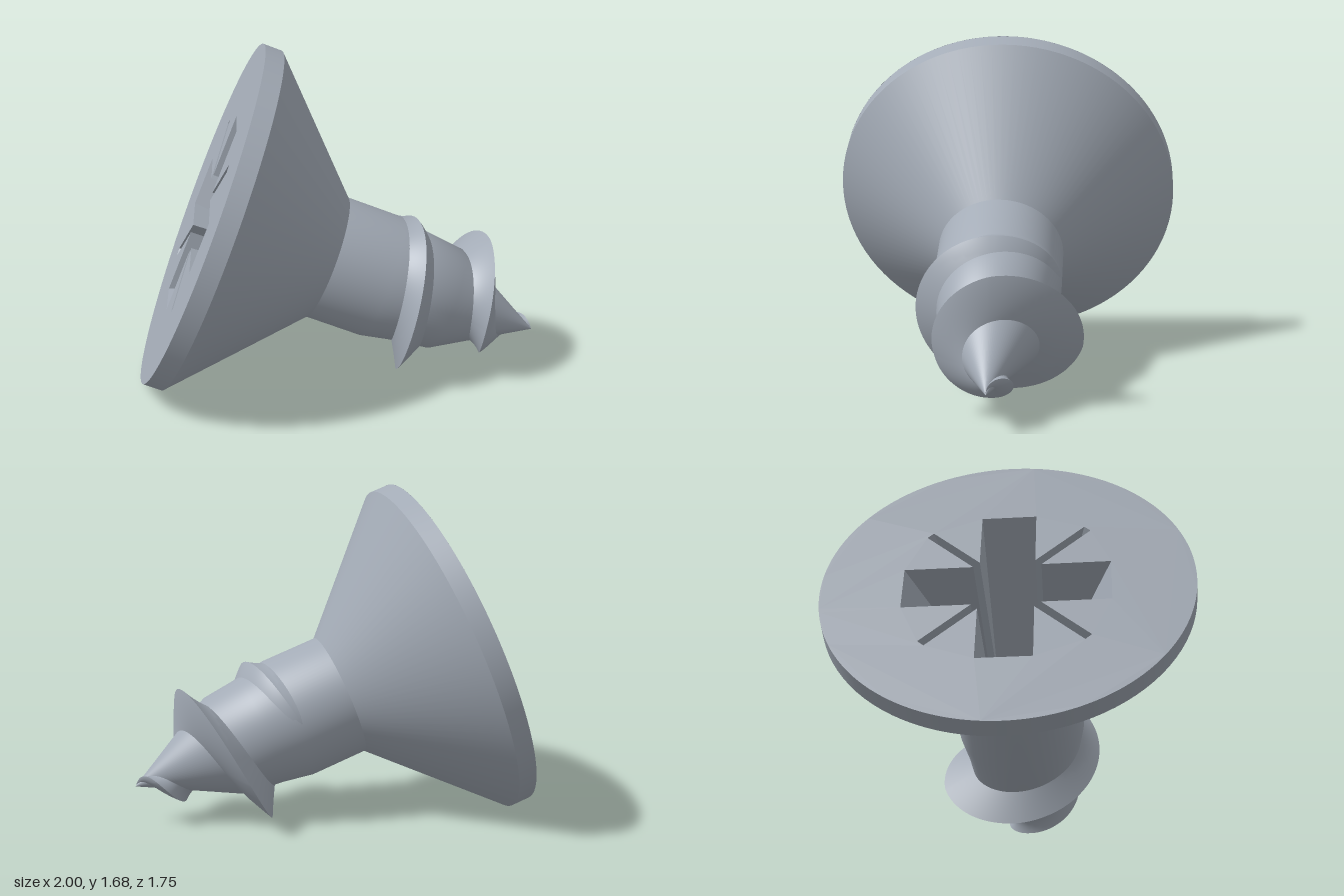
import * as THREE from 'three';
import { ParametricGeometry } from 'three/addons/geometries/ParametricGeometry.js';

// Screw built along local +Y (head at 0, tip at TIP), then tilted into place
const TIP = 1.79;
const HEAD_R = 0.883;
const SHANK = [[0.315, 0.66], [0.315, 0.95], [0.288, 1.1], [0.265, 1.3], [0, TIP]];
const CREST = [[0.28, 0.88], [0.315, 0.93], [0.342, 1.02], [0.385, 1.115], [0.425, 1.21], [0.437, 1.29],
  [0.37, 1.4], [0.26, 1.495], [0.178, 1.59], [0.11, 1.685], [0, TIP]];

// radius at distance s, interpolated in a [radius, distance] profile
function radiusAt(profile, s) {
  for (let i = 1; i < profile.length; i++) {
    const [r0, s0] = profile[i - 1], [r1, s1] = profile[i];
    if (s <= s1) return r0 + (r1 - r0) * Math.max(0, (s - s0) / (s1 - s0));
  }
  return 0;
}

// cross outline with four thin diagonal slits, narrowing with depth
function recessOutline(depth) {
  const arm = 0.49 - 0.45 * depth;
  const h = 0.132 - 0.03 * depth;
  const q = 0.38 - 0.32 * depth;
  const quarter = [[arm, -h], [arm, h], [h + 0.03, h], [q + 0.015, q - 0.015],
    [q - 0.015, q + 0.015], [h, h + 0.03]];
  const points = [];
  for (let k = 0; k < 4; k++) {
    for (const [x, y] of quarter) {
      points.push(new THREE.Vector2(x, y).rotateAround(new THREE.Vector2(), k * Math.PI / 2));
    }
  }
  return points;
}

function recessGeometry(depth, apexDepth) {
  const top = recessOutline(0), low = recessOutline(depth);
  const pos = [];
  const n = top.length;
  for (let i = 0; i < n; i++) {
    const j = (i + 1) % n;
    const a = [top[i].x, top[i].y, 0], b = [top[j].x, top[j].y, 0];
    const c = [low[j].x, low[j].y, -depth], d = [low[i].x, low[i].y, -depth];
    pos.push(...a, ...b, ...c, ...a, ...c, ...d);
    pos.push(...d, ...c, 0, 0, -apexDepth);
  }
  const geo = new THREE.BufferGeometry();
  geo.setAttribute('position', new THREE.Float32BufferAttribute(pos, 3));
  geo.computeVertexNormals();
  return geo.rotateX(Math.PI / 2);
}

// one flank of the helical thread: side -1 faces the head, +1 faces the tip
function threadFlank(side) {
  const s0 = 0.89, s1 = 1.78, pitch = 0.38;
  return new ParametricGeometry((u, v, target) => {
    const s = s0 + (s1 - s0) * (side > 0 ? u : 1 - u);
    const angle = (s - 1.02) / pitch * Math.PI * 2;
    const width = Math.min(0.08, (TIP - s) * 0.5);
    const y = s + side * width * v;
    const root = Math.max(0, radiusAt(SHANK, y) - 0.01);
    const r = radiusAt(CREST, s) * (1 - v) + root * v;
    target.set(r * Math.sin(angle), y, r * Math.cos(angle));
  }, 240, 6);
}

export function createModel() {
  const steel = new THREE.MeshStandardMaterial({ color: 0xa3abb6, side: THREE.DoubleSide });
  steel.name = 'steel';
  const screw = new THREE.Group();
  screw.name = 'screw';
  const add = (name, geometry) => {
    const mesh = new THREE.Mesh(geometry, steel);
    mesh.name = name;
    screw.add(mesh);
  };
  const lathe = (points) => new THREE.LatheGeometry(points.map(([r, y]) => new THREE.Vector2(r, y)), 96);

  // head: flat face with drive recess, rim and countersunk cone
  const face = new THREE.Shape().absarc(0, 0, HEAD_R, 0, Math.PI * 2);
  face.holes.push(new THREE.Path(recessOutline(0).reverse()));
  add('headFace', new THREE.ShapeGeometry(face, 96).rotateX(Math.PI / 2));
  add('driveRecess', recessGeometry(0.7, 0.78));
  add('headRim', lathe([[HEAD_R, 0], [HEAD_R, 0.095]]));
  add('headCone', lathe([[HEAD_R, 0.095], [0.315, 0.66]]));

  // tapered shank and pointed tip
  add('shank', lathe(SHANK));

  // thread
  add('threadBackFlank', threadFlank(-1));
  add('threadFrontFlank', threadFlank(1));

  // tilt so the tip points down to the side
  const axis = new THREE.Vector3(0.909, -0.369, 0.196).normalize();
  const across = new THREE.Vector3(-axis.z, 0, axis.x).normalize();
  const up = new THREE.Vector3().crossVectors(across, axis);
  screw.quaternion.setFromRotationMatrix(new THREE.Matrix4().makeBasis(across, axis, up));
  screw.position.set(-0.635, 0.86, -0.005);

  const model = new THREE.Group();
  model.name = 'tiltedScrew';
  model.add(screw);
  return model;
}
